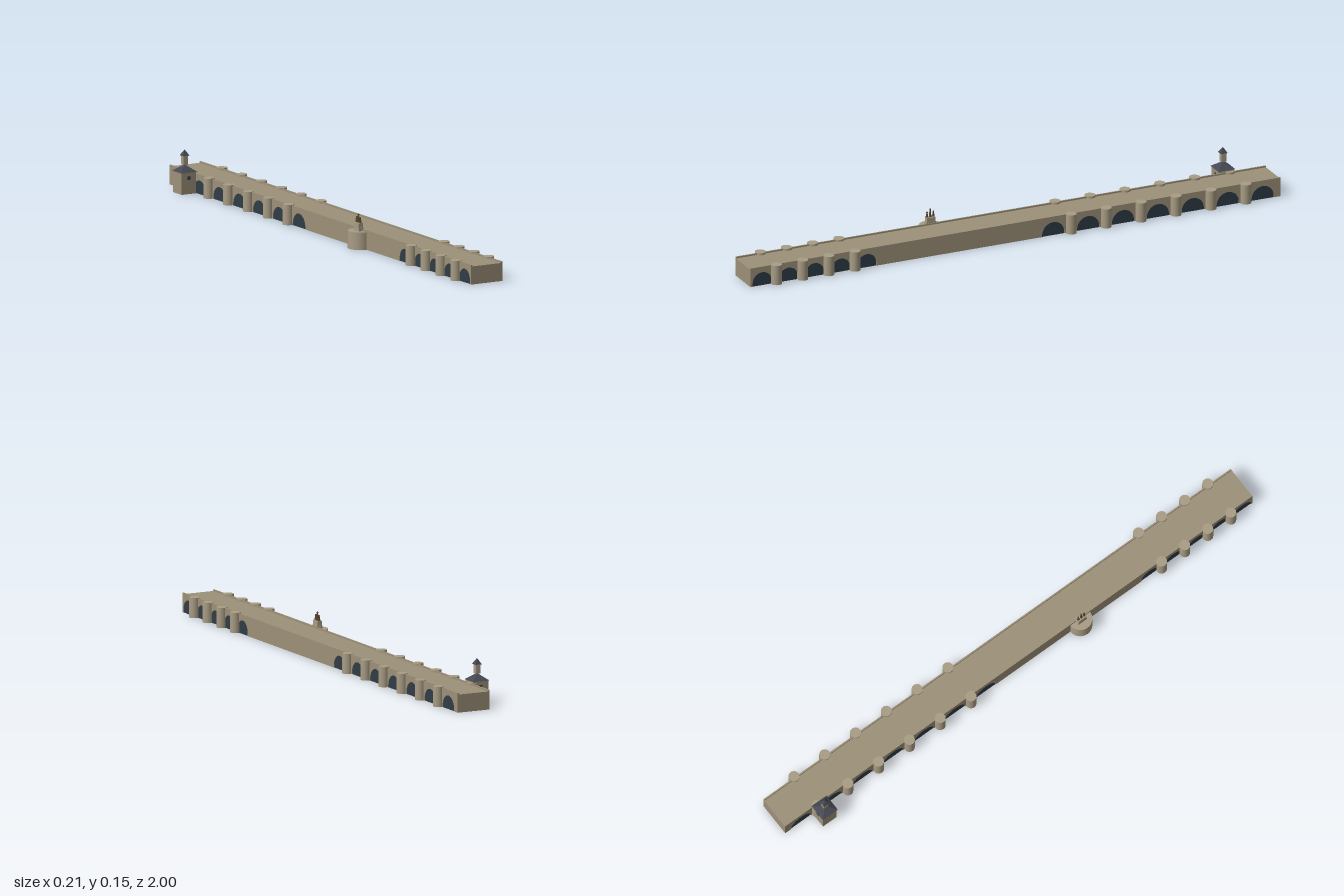
import * as THREE from 'three';

const paint = (color, side = THREE.FrontSide) => new THREE.MeshStandardMaterial({ color, side });

export function createModel() {
  const bridge = new THREE.Group();
  const stone = paint(0x9c9078);
  const paleStone = paint(0xa89c84);
  const shade = paint(0x2f3c46, THREE.DoubleSide);
  const slate = paint(0x454852);
  const bronze = paint(0x5a4632);

  const add = (name, geometry, material, x, y, z, parent = bridge) => {
    const mesh = new THREE.Mesh(geometry, material);
    mesh.name = name;
    mesh.position.set(x, y, z);
    parent.add(mesh);
    return mesh;
  };
  const box = (name, w, h, d, material, x, y, z, parent) =>
    add(name, new THREE.BoxGeometry(w, h, d), material, x, y + h / 2, z, parent);
  const cylinder = (name, r, h, material, x, y, z, sides = 20, parent) =>
    add(name, new THREE.CylinderGeometry(r, r, h, sides), material, x, y + h / 2, z, parent);
  const pyramid = (name, width, h, material, x, y, z, parent) => {
    const g = new THREE.ConeGeometry(width / Math.SQRT2, h, 4, 1).toNonIndexed();
    g.rotateY(Math.PI / 4);
    g.computeVertexNormals();
    return add(name, g, material, x, y + h / 2, z, parent);
  };

  const left = -0.044, right = 0.08, mid = (left + right) / 2, width = right - left;
  const wall = 0.01, deckTop = 0.063, deckBottom = 0.051;

  // Arch and pier rhythm of the two arcades
  const arches = [], piers = [];
  for (let i = 0; i < 5; i++) arches.push({ z: 0.956 - 0.0987 * i, r: 0.036 });
  for (let i = 0; i < 7; i++) arches.push({ z: -0.142 - 0.1317 * i, r: 0.042 });
  for (let i = 0; i < 4; i++) piers.push(0.904 - 0.0987 * i);
  for (let i = 0; i < 6; i++) piers.push(-0.208 - 0.1317 * i);

  // Arch outline, drawn from springing to springing with short straight legs
  const traceArch = (path, z, r) => {
    const spring = 0.048 - r;
    path.moveTo(z + r, 0);
    path.lineTo(z + r, spring);
    path.absarc(z, spring, r, 0, Math.PI, false);
    path.lineTo(z - r, 0);
    return path;
  };

  // Side wall outline cut by the arches along its foot
  const outline = new THREE.Shape();
  outline.moveTo(-1, deckTop);
  outline.lineTo(1, deckTop);
  outline.lineTo(1, 0);
  for (const { z, r } of arches) {
    const spring = 0.048 - r;
    outline.lineTo(z + r, 0);
    outline.lineTo(z + r, spring);
    outline.absarc(z, spring, r, 0, Math.PI, false);
    outline.lineTo(z - r, 0);
  }
  outline.lineTo(-1, 0);
  outline.closePath();
  const wallGeometry = new THREE.ExtrudeGeometry(outline, { depth: wall, bevelEnabled: false, curveSegments: 16 });
  wallGeometry.rotateY(-Math.PI / 2);

  const panelGeometry = new THREE.ShapeGeometry(
    arches.map(({ z, r }) => traceArch(new THREE.Shape(), z, r)), 16);
  panelGeometry.rotateY(-Math.PI / 2);

  // Both flanks: wall, dark arch infill, parapet and round piers
  for (const side of [-1, 1]) {
    const outer = side < 0 ? left : right;
    add('arcadeWall', wallGeometry, stone, side < 0 ? left + wall : right, 0, 0);
    add('archInfill', panelGeometry, shade, outer - side * 0.002, 0, 0);
    box('parapet', 0.005, 0.0055, 2, stone, outer - side * 0.0025, deckTop, 0);
    for (const z of piers) cylinder('pier', 0.019, 0.07, paleStone, outer + side * 0.0035, 0, z);
  }

  // Roadway, end walls and cross walls under the deck
  box('deck', width - 2 * wall, deckTop - deckBottom, 2, stone, mid, deckBottom, 0);
  for (const z of [-0.995, 0.995, -0.085, 0.507])
    box('crossWall', width - 2 * wall, deckBottom, 0.01, stone, mid, 0, z);

  // Round bastion with a small group of figures
  const monument = new THREE.Group();
  monument.name = 'monument';
  monument.position.set(-0.05, 0, 0.262);
  bridge.add(monument);
  cylinder('bastion', 0.042, 0.061, paleStone, 0.006, 0, 0, 28, monument);
  box('plinth', 0.018, 0.012, 0.036, paleStone, 0, 0.061, 0, monument);
  box('pedestal', 0.018, 0.016, 0.032, paleStone, 0, 0.073, 0, monument);
  for (const [z, h] of [[-0.012, 0.014], [0, 0.024], [0.012, 0.014]]) {
    add('figureBody', new THREE.CylinderGeometry(0.0025, 0.005, h, 8), bronze, 0, 0.089 + h / 2, z, monument);
    add('figureHead', new THREE.SphereGeometry(0.0032, 8, 6), bronze, 0, 0.091 + h + 0.001, z, monument);
  }

  // Square tower with pyramid roof, lantern and spire
  const tower = new THREE.Group();
  tower.name = 'tower';
  tower.position.set(-0.073, 0, -0.853);
  bridge.add(tower);
  box('towerBody', 0.058, 0.076, 0.058, stone, 0, 0, 0, tower);
  pyramid('towerRoof', 0.064, 0.024, slate, 0, 0.075, 0, tower);
  box('lantern', 0.018, 0.033, 0.018, paleStone, 0, 0.098, 0, tower);
  pyramid('spire', 0.025, 0.021, slate, 0, 0.13, 0, tower);
  for (const s of [-1, 1]) box('towerWindow', 0.012, 0.012, 0.001, shade, 0, 0.05, s * 0.029, tower);

  return bridge;
}
